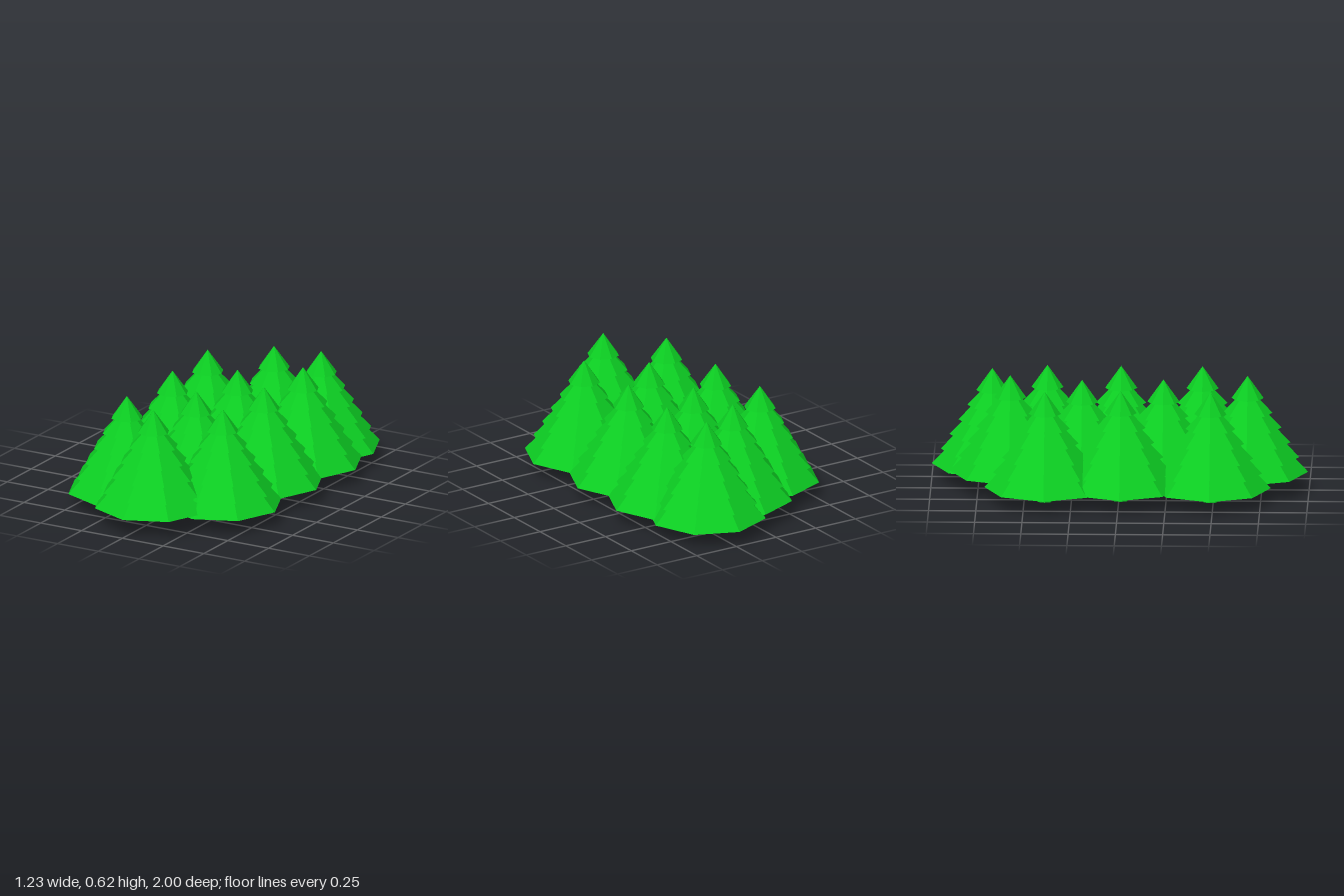
import * as THREE from 'three';

const SIDES = 8;
const TIERS = 6;

// Stepped profile of the foliage, from the underside up to the tip
function foliageProfile() {
  const points = [new THREE.Vector2(0, 0.095), new THREE.Vector2(0.05, 0.095)];
  for (let i = 0; i < TIERS; i++) {
    const rim = 0.32 - i * 0.047;
    const y = 0.078 + i * 0.08;
    points.push(new THREE.Vector2(rim, y));
    if (i < TIERS - 1) points.push(new THREE.Vector2(rim - 0.082, y + 0.087));
  }
  points.push(new THREE.Vector2(0, 0.598));
  return points;
}

export function createModel() {
  const group = new THREE.Group();
  group.name = 'pineGrove';
  const material = new THREE.MeshStandardMaterial({ color: 0x0ccc22, flatShading: true });

  const foliageGeometry = new THREE.LatheGeometry(foliageProfile(), SIDES);
  const trunkGeometry = new THREE.CylinderGeometry(0.046, 0.046, 0.11, SIDES);
  trunkGeometry.translate(0, 0.06, 0);

  // Tree positions: x, z and lift above the ground
  const trees = [
    [0, 0.675, 0.022], [-0.275, 0.485, 0], [0.28, 0.43, 0.004],
    [0, 0.23, 0], [-0.275, 0.01, 0.004], [0.28, 0, 0.004],
    [0, -0.2, -0.005], [-0.295, -0.39, 0.002], [0.29, -0.39, 0.004],
    [0, -0.58, 0.018], [0.23, -0.68, 0],
  ];

  trees.forEach(([x, z, lift], i) => {
    const tree = new THREE.Group();
    tree.name = `pineTree${i + 1}`;
    const foliage = new THREE.Mesh(foliageGeometry, material);
    foliage.name = 'foliage';
    const trunk = new THREE.Mesh(trunkGeometry, material);
    trunk.name = 'trunk';
    tree.add(foliage, trunk);
    tree.position.set(x, lift, z);
    group.add(tree);
  });
  return group;
}
